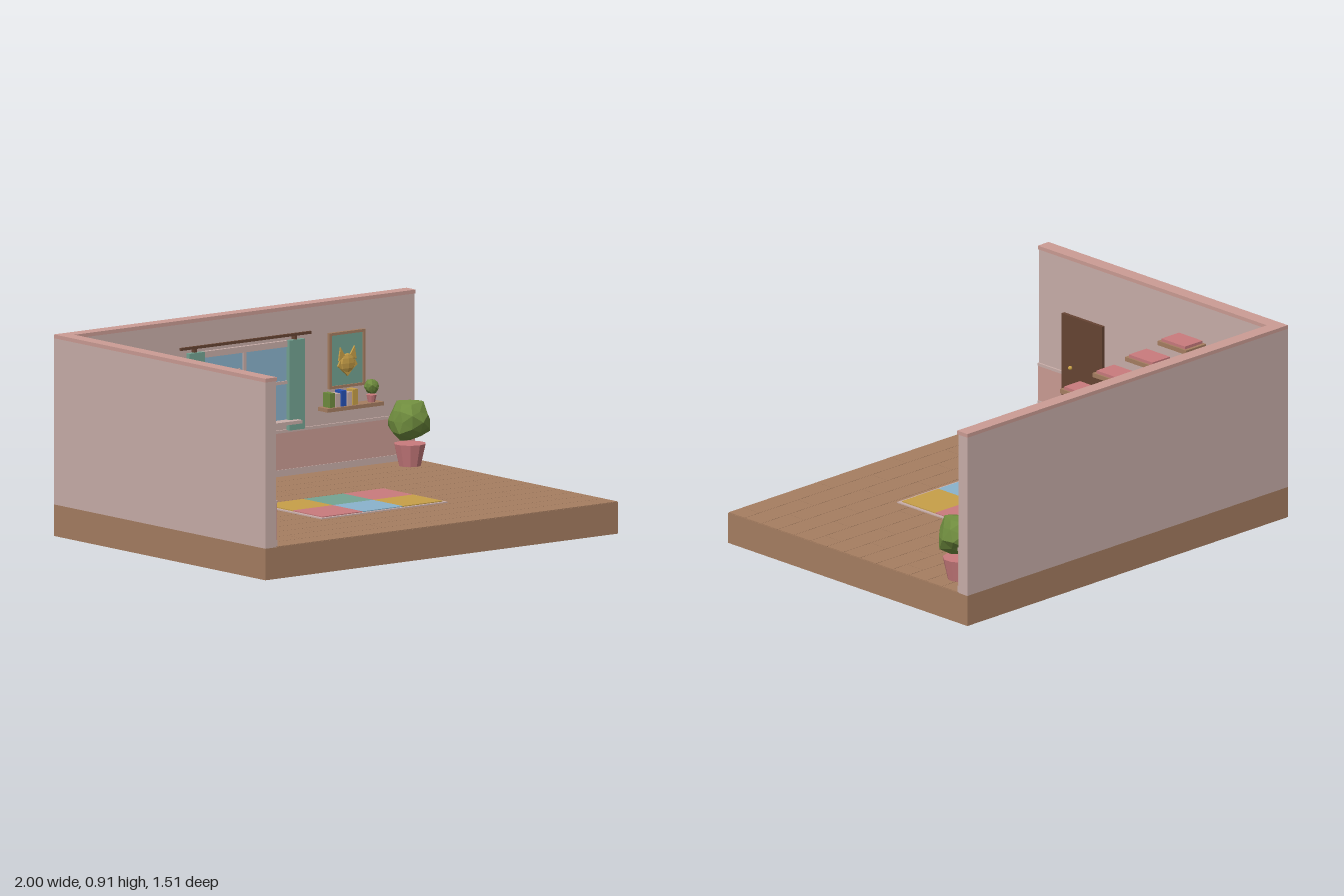
import * as THREE from 'three';

const mat = (name, color, flat = false) => {
  const m = new THREE.MeshStandardMaterial({ color });
  m.name = name;
  m.flatShading = flat;
  return m;
};

export function createModel() {
  const room = new THREE.Group();
  room.name = 'room';
  const wood = mat('wood', 0xa67e61), wall = mat('wallPaint', 0xc9aea9), trim = mat('pinkTrim', 0xcb9c94),
    rose = mat('rose', 0xc97b7d, true), dark = mat('darkWood', 0x664433), leaf = mat('leaf', 0x6f8c3e, true),
    teal = mat('teal', 0x74a392), sky = mat('sky', 0x8ab3cc), gold = mat('gold', 0xc79f48, true),
    blue = mat('blue', 0x2550b4, true);

  const add = (name, geometry, material, parent = room) => {
    const m = new THREE.Mesh(geometry, material);
    m.name = name;
    parent.add(m);
    return m;
  };
  const group = (name, x = 0, y = 0, z = 0) => {
    const g = new THREE.Group();
    g.name = name;
    g.position.set(x, y, z);
    room.add(g);
    return g;
  };
  // Box given by its extents on each axis
  const box = (name, material, x0, x1, y0, y1, z0, z1, parent = room) => {
    const m = add(name, new THREE.BoxGeometry(x1 - x0, y1 - y0, z1 - z0), material, parent);
    m.position.set((x0 + x1) / 2, (y0 + y1) / 2, (z0 + z1) / 2);
    return m;
  };

  // Floor slab with staggered planks
  const D = 0.755, F = 0.145, H = 0.907;
  box('floorSlab', wood, -1, 1, 0, F - 0.003, -D, D);
  const planks = group('planks'), rows = 14, step = 1.45 / rows;
  for (let r = 0; r < rows; r++) {
    const z = -0.695 + r * step;
    const cuts = [-0.94];
    for (let x = -0.94 + 0.15 + ((r * 3) % 5) * 0.08; x < 0.95; x += 0.46) cuts.push(x);
    cuts.push(1);
    for (let i = 0; i < cuts.length - 1; i++)
      box('plank', wood, cuts[i], cuts[i + 1] - 0.002, F - 0.004, F, z, z + step - 0.002, planks);
  }

  // Walls with caps, wainscot, rail and baseboard
  box('backWall', wall, -1, 1, F - 0.003, 0.89, -D, -0.7);
  box('leftWall', wall, -1, -0.94, F - 0.003, 0.89, -0.7, D);
  box('backCap', trim, -1, 1, 0.89, H, -D, -0.69);
  box('leftCap', trim, -1, -0.933, 0.89, H, -0.69, D);
  for (const [name, m, y0, y1, t] of [
    ['baseboard', wall, F, 0.175, 0.009], ['wainscot', trim, 0.175, 0.34, 0.005], ['chairRail', wall, 0.34, 0.353, 0.009]]) {
    box(name + 'Back', m, -0.94, 1, y0, y1, -0.7, -0.7 + t);
    box(name + 'Left', m, -0.94, -0.94 + t, y0, y1, -0.7 + t, D);
  }

  // Door
  box('door', dark, -0.94, -0.923, F, 0.632, 0.34, 0.596);
  add('doorKnob', new THREE.IcosahedronGeometry(0.01, 1), gold).position.set(-0.917, 0.39, 0.535);

  // Climbing shelves with cushions
  for (let i = 0; i < 4; i++) {
    const z = 0.405 - i * 0.205, y = 0.308 + i * 0.129;
    box('stepShelf', wood, -0.94, -0.815, y, y + 0.02, z - 0.09, z + 0.09);
    box('stepCushion', rose, -0.933, -0.824, y + 0.02, y + 0.033, z - 0.074, z + 0.074);
  }

  // Rug with six patches
  box('rugBorder', wall, -0.33, 0.383, F, 0.15, -0.142, 0.312);
  [[gold, teal, rose], [rose, sky, gold]].forEach((row, j) => row.forEach((m, i) => {
    const x = -0.313 + i * 0.227, z = -0.126 + j * 0.212;
    box('rugPatch', m, x, x + 0.227, 0.15, 0.154, z, z + 0.212);
  }));

  // Potted plants with crumpled foliage
  const foliage = (r, seed) => {
    const g = new THREE.IcosahedronGeometry(r, 1), p = g.attributes.position, v = new THREE.Vector3();
    for (let i = 0; i < p.count; i++) {
      v.fromBufferAttribute(p, i);
      const k = Math.round(v.x / r * 50) * 12.9 + Math.round(v.y / r * 50) * 78.2 + Math.round(v.z / r * 50) * 37.7;
      const n = Math.abs(Math.sin(k + seed) * 437.58) % 1;
      v.multiplyScalar(0.82 + 0.26 * n);
      p.setXYZ(i, v.x, v.y, v.z);
    }
    g.computeVertexNormals();
    return g;
  };
  const plant = (name, x, y, z, s, leafY, seed) => {
    const g = group(name, x, y, z);
    add('pot', new THREE.CylinderGeometry(0.073 * s, 0.05 * s, 0.1 * s, 10), rose, g).position.y = 0.05 * s;
    add('foliage', foliage(0.103 * s, seed), leaf, g).position.y = leafY * s;
  };
  plant('leftPlant', -0.81, F, -0.59, 1, 0.218, 1);
  plant('rightPlant', 0.871, F, -0.57, 1, 0.206, 4);
  plant('shelfPlant', 0.725, 0.435, -0.66, 0.33, 0.21, 2);

  // Window with panes, sill, clouds and curtains
  const win = group('window');
  box('windowPane', sky, -0.22, 0.28, 0.39, 0.727, -0.7, -0.692, win);
  box('windowHead', wall, -0.22, 0.28, 0.727, 0.755, -0.7, -0.684, win);
  box('mullion', wall, 0.02, 0.035, 0.4, 0.727, -0.692, -0.684, win);
  box('crossbar', wall, -0.21, 0.27, 0.56, 0.574, -0.692, -0.685, win);
  box('largeCloud', wall, -0.14, 0.003, 0.62, 0.658, -0.692, -0.687, win);
  box('smallCloud', wall, 0.1, 0.187, 0.574, 0.598, -0.692, -0.687, win);
  box('sill', wall, -0.258, 0.315, 0.384, 0.399, -0.7, -0.636, win);
  box('leftCurtain', teal, 0.268, 0.355, 0.352, 0.757, -0.69, -0.668, win);
  box('rightCurtain', teal, -0.3, -0.213, 0.352, 0.757, -0.69, -0.668, win);
  box('curtainRod', dark, -0.343, 0.397, 0.774, 0.786, -0.685, -0.673, win);
  for (const x of [-0.257, 0.31]) box('rodBracket', dark, x - 0.006, x + 0.006, 0.757, 0.78, -0.7, -0.677, win);

  // Picture frames
  const picture = (name, x0, x1, y0, y1, m) => {
    const g = group(name), b = 0.012;
    box('canvas', m, x0 + b, x1 - b, y0 + b, y1 - b, -0.7, -0.69, g);
    for (const y of [y0, y1 - b]) box('frameRail', wood, x0, x1, y, y + b, -0.7, -0.683, g);
    for (const x of [x0, x1 - b]) box('frameStile', wood, x, x + b, y0 + b, y1 - b, -0.7, -0.683, g);
    return g;
  };
  const flat = (points) => new THREE.ExtrudeGeometry(
    new THREE.Shape(points.map(([x, y]) => new THREE.Vector2(x, y))), { depth: 0.008, bevelEnabled: false });

  // Fish picture
  const fish = picture('fishPicture', -0.69, -0.48, 0.51, 0.76, wall);
  const body = add('fishBody', new THREE.SphereGeometry(1, 10, 6), blue, fish);
  body.scale.set(0.075, 0.036, 0.014);
  body.position.set(-0.588, 0.635, -0.688);
  add('fishTail', flat([[-0.53, 0.635], [-0.495, 0.595], [-0.503, 0.635], [-0.495, 0.673]]), blue, fish).position.z = -0.69;
  add('fishFin', flat([[-0.61, 0.66], [-0.545, 0.655], [-0.57, 0.68], [-0.595, 0.68]]), blue, fish).position.z = -0.69;

  // Cat picture
  const cat = picture('catPicture', 0.507, 0.71, 0.51, 0.762, teal);
  const head = add('catHead', new THREE.SphereGeometry(1, 8, 6), gold, cat);
  head.scale.set(0.048, 0.045, 0.014);
  head.position.set(0.609, 0.618, -0.688);
  for (const s of [-1, 1]) {
    const pts = [[0.609 + s * 0.012, 0.65], [0.609 + s * 0.05, 0.632], [0.609 + s * 0.04, 0.692]];
    add('catEar', flat(pts), gold, cat).position.z = -0.69;
    const cheek = [[0.609 + s * 0.03, 0.59], [0.609 + s * 0.056, 0.608], [0.609 + s * 0.04, 0.635]];
    add('catCheek', flat(cheek), gold, cat).position.z = -0.69;
  }
  add('catChin', flat([[0.58, 0.59], [0.609, 0.56], [0.638, 0.59]]), gold, cat).position.z = -0.69;

  // Book shelf
  box('bookShelf', wood, 0.453, 0.772, 0.418, 0.435, -0.7, -0.63);
  [[leaf, 0.5], [wall, 0.495], [blue, 0.505], [wall, 0.495], [gold, 0.505]].forEach(([m, top], i) => {
    const x = 0.475 + i * 0.033;
    box('book', m, x, x + 0.028, 0.435, top, -0.69, -0.642);
  });
  return room;
}
